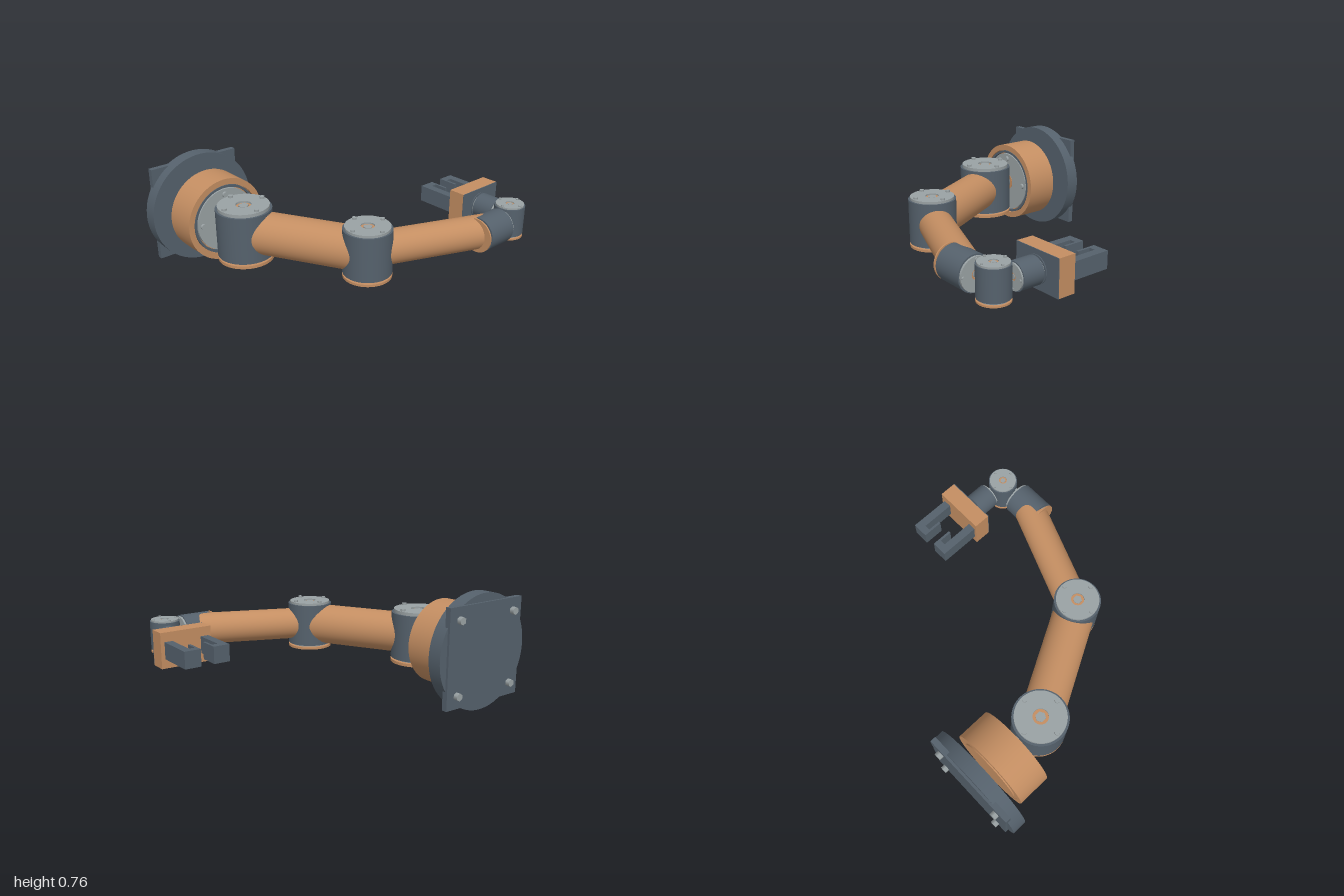
import * as THREE from 'three';
import { toCreasedNormals } from 'three/addons/utils/BufferGeometryUtils.js';

const material = (name, color) => {
  const m = new THREE.MeshStandardMaterial({ color });
  m.name = name;
  return m;
};

export function createModel() {
  const orange = material('copper orange', 0xc48e62);
  const dark = material('slate', 0x55616c);
  const grey = material('light grey', 0x9aa2a4);
  const model = new THREE.Group();
  model.name = 'robotArm';
  const AXIS = 0.385; // height of the arm's centre line

  function add(parent, name, geometry, mat, x = 0, y = 0, z = 0) {
    const mesh = new THREE.Mesh(geometry, mat);
    mesh.name = name;
    mesh.position.set(x, y, z);
    parent.add(mesh);
    return mesh;
  }

  // Cylinder between two heights
  function drum(parent, name, r, y0, y1, mat, x = 0, z = 0, sides = 64) {
    return add(parent, name, new THREE.CylinderGeometry(r, r, y1 - y0, sides), mat, x, (y0 + y1) / 2, z);
  }

  // Flat ring with a real hole, between two heights
  function ring(parent, name, rOut, rIn, y0, y1, mat) {
    const shape = new THREE.Shape().absarc(0, 0, rOut, 0, Math.PI * 2);
    shape.holes.push(new THREE.Path().absarc(0, 0, rIn, 0, Math.PI * 2, true));
    const geo = new THREE.ExtrudeGeometry(shape, { depth: y1 - y0, bevelEnabled: false, curveSegments: 32 });
    geo.rotateX(-Math.PI / 2);
    return add(parent, name, toCreasedNormals(geo, 0.6), mat, 0, y0, 0);
  }

  // Rotary joint along local y: housing, bolted cap with sunken hub, neck and end disc
  function joint(name, r, y0, y1, cap, end, endMat = orange) {
    const g = new THREE.Group();
    g.name = name;
    model.add(g);
    drum(g, 'housing', r, y0, y1, dark);
    ring(g, 'cap', r * 0.92, r * 0.28, y1, y1 + cap, grey);
    drum(g, 'hubRing', r * 0.29, y1, y1 + cap * 0.4, orange);
    drum(g, 'hubNut', r * 0.19, y1, y1 + cap * 0.7, grey, 0, 0, 6);
    for (let i = 0; i < 4; i++) {
      const a = i * Math.PI / 2;
      drum(g, 'capBolt', r * 0.09, y1, y1 + cap + r * 0.08, grey, Math.cos(a) * r * 0.79, Math.sin(a) * r * 0.79, 12);
    }
    drum(g, 'neck', r * 0.85, y0 - 0.012, y0, grey);
    ring(g, 'endDisc', r, r * 0.22, y0 - 0.012 - end, y0 - 0.012, endMat);
    return g;
  }

  // Arm tube between two points (x, z) on the centre line
  function tube(name, r, [x0, z0], [x1, z1]) {
    const dir = new THREE.Vector3(x1 - x0, 0, z1 - z0);
    const mesh = add(model, name, new THREE.CylinderGeometry(r, r, dir.length(), 64), orange,
      (x0 + x1) / 2, AXIS, (z0 + z1) / 2);
    mesh.quaternion.setFromUnitVectors(new THREE.Vector3(0, 1, 0), dir.normalize());
  }

  // Mounting base, with local y pointing forward
  const base = new THREE.Group();
  base.name = 'base';
  base.position.set(-0.62, AXIS, 0);
  base.rotation.x = Math.PI / 2;
  model.add(base);
  drum(base, 'baseFlange', 0.38, -0.855, -0.76, dark, 0, 0, 96);
  add(base, 'mountPlate', new THREE.BoxGeometry(0.645, 0.038, 0.65), dark, 0, -0.852, 0);
  for (const x of [-0.24, 0.24]) for (const z of [-0.24, 0.24]) {
    drum(base, 'mountBolt', 0.026, -0.9, -0.855, grey, x, z, 6);
  }

  // Turning waist with an inset bolted face
  drum(base, 'waistBackDisc', 0.22, -0.706, -0.69, orange);
  ring(base, 'waistRing', 0.283, 0.243, -0.7, -0.477, orange);
  drum(base, 'waistBody', 0.25, -0.698, -0.5, orange);
  ring(base, 'waistInnerRing', 0.238, 0.222, -0.5, -0.479, dark);
  drum(base, 'waistFace', 0.215, -0.5, -0.479, grey);
  drum(base, 'waistHub', 0.06, -0.48, -0.476, orange);
  drum(base, 'waistNut', 0.04, -0.48, -0.472, grey, 0, 0, 6);
  for (let i = 0; i < 4; i++) {
    const a = i * Math.PI / 2;
    drum(base, 'waistBolt', 0.02, -0.48, -0.462, grey, Math.cos(a) * 0.178, Math.sin(a) * 0.178, 12);
  }

  // Shoulder, elbow and the two arm tubes
  const shoulder = [-0.62, -0.265], elbow = [-0.225, 0.465], wrist = [0.55, 0.777];
  joint('shoulder', 0.182, 0.226, 0.542, 0.022, 0.02).position.set(shoulder[0], 0, shoulder[1]);
  joint('elbow', 0.155, 0.243, 0.535, 0.016, 0.016).position.set(elbow[0], 0, elbow[1]);
  tube('upperArm', 0.14, shoulder, elbow);
  tube('forearm', 0.11, elbow, wrist);

  // Wrist: roll along x, pitch along y, turn along z
  const roll = joint('wristRoll', 0.113, 0.446, 0.657, 0.014, 0.01);
  roll.rotation.z = -Math.PI / 2;
  roll.position.set(0, AXIS, wrist[1]);
  joint('wristPitch', 0.1, 0.291, 0.484, 0.011, 0.011).position.set(0.79, 0, 0.752);
  const turn = joint('wristTurn', 0.087, 0.497, 0.638, 0.01, 0.006, dark);
  turn.rotation.x = Math.PI / 2;
  turn.position.set(0.82, AXIS, 0);

  // Gripper palm with a thin backing plate
  const gripper = new THREE.Group();
  gripper.name = 'gripper';
  gripper.position.set(0.824, AXIS, 0);
  model.add(gripper);
  add(gripper, 'palm', new THREE.BoxGeometry(0.352, 0.236, 0.115), orange, 0, 0, 0.4175);
  add(gripper, 'palmPlate', new THREE.BoxGeometry(0.352, 0.236, 0.005), dark, 0, 0, 0.4775);

  // Hooked fingers: outer bar, tip and inner pad in one outline
  for (const side of [-1, 1]) {
    const pts = [[0.154, 0.36], [0.154, 0.08], [0.044, 0.08], [0.044, 0.22],
      [0.06, 0.22], [0.06, 0.13], [0.099, 0.13], [0.099, 0.36]];
    const shape = new THREE.Shape(pts.map(([x, z]) => new THREE.Vector2(x * side, z)));
    const geo = new THREE.ExtrudeGeometry(shape, { depth: 0.112, bevelEnabled: false });
    geo.rotateX(Math.PI / 2);
    add(gripper, side > 0 ? 'leftFinger' : 'rightFinger', geo, dark, -0.004, 0.056, 0);
  }
  return model;
}
